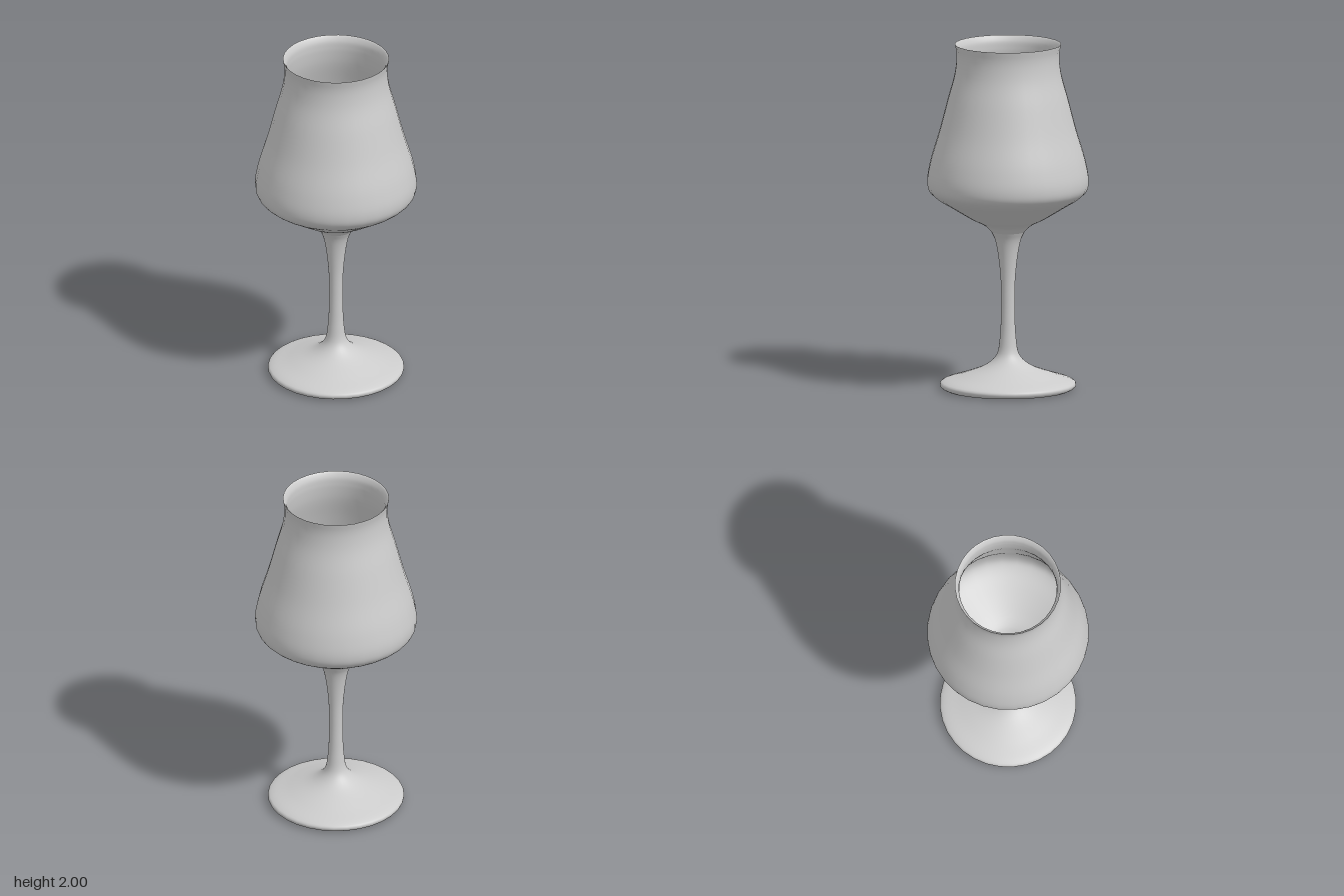
import * as THREE from 'three';

const SIDES = 32;
const material = new THREE.MeshStandardMaterial({ color: 0xcccccc, side: THREE.DoubleSide });

// Smooth surface of revolution through a few [radius, height] points
function turned(name, profile, samples) {
  const curve = new THREE.CatmullRomCurve3(
    profile.map(([r, y]) => new THREE.Vector3(r, y, 0)), false, 'centripetal');
  const points = curve.getPoints(samples).map((p) => new THREE.Vector2(p.x, p.y));
  const mesh = new THREE.Mesh(new THREE.LatheGeometry(points, SIDES), material);
  mesh.name = name;
  return mesh;
}

export function createModel() {
  const glass = new THREE.Group();
  glass.name = 'stemmedGlass';

  // Flat underside of the foot
  const underside = new THREE.Mesh(new THREE.CircleGeometry(0.365, SIDES), material);
  underside.name = 'footUnderside';
  underside.rotation.x = Math.PI / 2;
  glass.add(underside);

  // Foot with rounded edge, sweeping up into the hollow stem
  glass.add(turned('footAndStem', [
    [0.365, 0], [0.385, 0.012], [0.39, 0.028], [0.38, 0.042],
    [0.27, 0.08], [0.14, 0.13], [0.085, 0.17], [0.06, 0.21],
    [0.046, 0.3], [0.04, 0.42], [0.039, 0.52], [0.043, 0.65],
    [0.06, 0.8], [0.076, 0.87], [0.095, 0.91],
  ], 70));

  // Outer bowl: shallow cone, full belly, tapering to the flared neck
  glass.add(turned('bowl', [
    [0.095, 0.91], [0.13, 0.945], [0.215, 0.99], [0.33, 1.06],
    [0.42, 1.117], [0.454, 1.155], [0.463, 1.21], [0.445, 1.32],
    [0.392, 1.5], [0.345, 1.68], [0.307, 1.82], [0.296, 1.9],
    [0.296, 1.95], [0.304, 2],
  ], 75));

  // Lip rolling inward and the lining that runs down to the stem
  glass.add(turned('lipAndLining', [
    [0.304, 2], [0.296, 1.992], [0.283, 1.965], [0.28, 1.93],
    [0.281, 1.9], [0.292, 1.82], [0.33, 1.68], [0.377, 1.5],
    [0.43, 1.32], [0.448, 1.21], [0.44, 1.165], [0.41, 1.13],
    [0.325, 1.073], [0.21, 1], [0.127, 0.95], [0.095, 0.91],
  ], 75));

  return glass;
}
